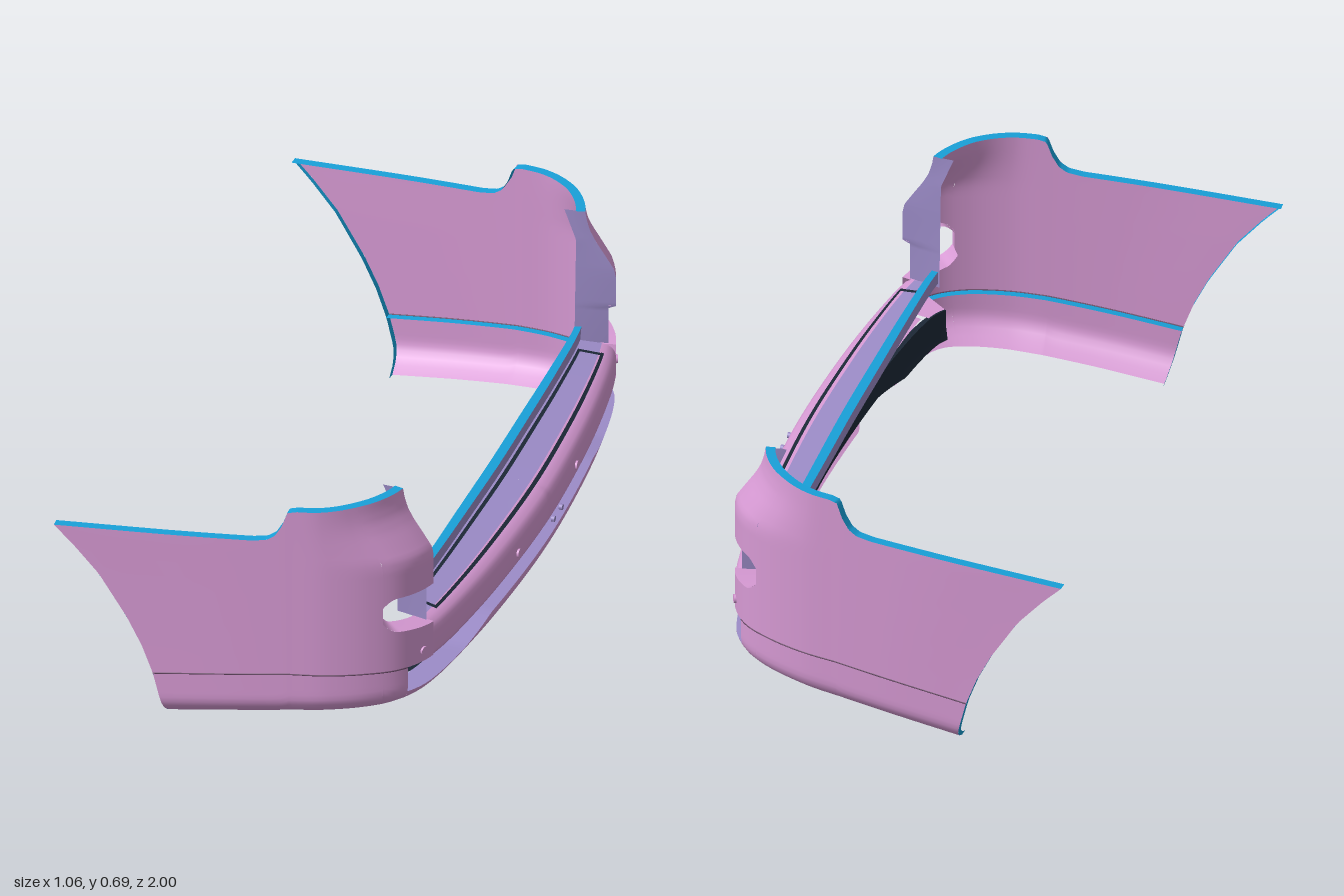
import * as THREE from 'three';

const mat = (color) => new THREE.MeshStandardMaterial({ color, side: THREE.DoubleSide });
const { lerp, clamp, smoothstep } = THREE.MathUtils;

// piecewise linear lookup in [[x, y], ...]
function table(rows, x) {
  if (x <= rows[0][0]) return rows[0][1];
  for (let i = 1; i < rows.length; i++) {
    const [a, p] = rows[i - 1], [b, q] = rows[i];
    if (x <= b) return lerp(p, q, (x - a) / (b - a));
  }
  return rows[rows.length - 1][1];
}

// plan curve of the outer skin, from wheel arch round the corner to past the middle
const plan = new THREE.CatmullRomCurve3([
  [-0.53, 1.0], [-0.2, 0.98], [0, 0.962], [0.1, 0.951], [0.2, 0.936], [0.3, 0.903], [0.37, 0.86],
  [0.415, 0.8], [0.44, 0.72], [0.472, 0.5], [0.492, 0.25], [0.5, 0], [0.492, -0.25],
].map(([x, z]) => new THREE.Vector3(x, 0, z)), false, 'centripetal');

function tAtZ(z) {
  let a = 0, b = 1;
  for (let i = 0; i < 40; i++) {
    const m = (a + b) / 2;
    if (plan.getPoint(m).z > z) a = m; else b = m;
  }
  return a;
}
const T_HOLE = tAtZ(0.885), T_SLOT = tAtZ(0.84), T_END = tAtZ(0.755), T_MID = tAtZ(0);

const ARCH = [[0, -0.23], [0.14, -0.265], [0.22, -0.295], [0.3, -0.335], [0.42, -0.41], [0.5, -0.48], [0.55, -0.53]];
const TOP = [[-0.53, 0.55], [0, 0.578], [0.04, 0.585], [0.062, 0.6], [0.08, 0.63], [0.095, 0.672], [0.12, 0.678], [0.35, 0.685]];
const BOTTOM = [[-0.53, 0], [-0.2, 0.024], [0.1, 0.045], [0.42, 0.076], [0.5, 0.08]];
const SHOULDER = [[0.5, 0], [0.525, 0.005], [0.56, 0.028], [0.6, 0.055], [0.63, 0.071], [0.66, 0.08], [0.69, 0.085]];
const GROOVE = [[-0.53, 0.14], [-0.2, 0.165], [0.1, 0.187], [0.3, 0.198], [0.42, 0.2]];

const at = (rows) => (t) => table(rows, plan.getPoint(t).x);
const top = at(TOP), groove = at(GROOVE), baseBottom = at(BOTTOM);

// point on the skin at plan parameter t and height y, moved inward by d
function skin(t, y, d = 0) {
  const p = plan.getPoint(t), g = plan.getTangent(t);
  const k = smoothstep(p.x, 0.1, 0.42);
  if (p.x < 0.1) { // wheel arch edge slants with height
    const s = (0.1 - table(ARCH, y)) / 0.63;
    p.x = 0.1 + (p.x - 0.1) * s;
    p.z = 0.951 + (p.z - 0.951) * s;
  }
  const h = clamp((y - baseBottom(t)) / 0.075, 0, 1);
  const inward = d + 0.065 * (1 - h) ** 2.6;
  p.x += g.z * inward - table(SHOULDER, y) * k;
  p.z -= g.x * inward;
  p.y = y;
  return p;
}

// grid surface from f(u, v)
function sheet(f, nu, nv) {
  const pos = [], idx = [];
  for (let i = 0; i <= nu; i++) for (let j = 0; j <= nv; j++) pos.push(...f(i / nu, j / nv).toArray());
  for (let i = 0; i < nu; i++) for (let j = 0; j < nv; j++) {
    const a = i * (nv + 1) + j, b = a + nv + 1;
    idx.push(a, b, a + 1, b, b + 1, a + 1);
  }
  const geo = new THREE.BufferGeometry();
  geo.setAttribute('position', new THREE.Float32BufferAttribute(pos, 3));
  geo.setIndex(idx);
  geo.computeVertexNormals();
  return geo;
}

export function createModel() {
  const group = new THREE.Group();
  const paint = mat(0xd79ad4), rim = mat(0x18a0d8), dark = mat(0x1c2836), inner = mat(0x9c8cc8), seam = mat(0x6a4a68);

  for (const side of [1, -1]) {
    const half = new THREE.Group();
    half.name = side > 0 ? 'leftHalf' : 'rightHalf';
    group.add(half);
    const add = (name, material, f, nu, nv) => {
      const mesh = new THREE.Mesh(sheet((u, v) => {
        const p = f(u, v);
        p.z *= side;
        return p;
      }, nu, nv), material);
      mesh.name = name;
      half.add(mesh);
    };
    // skin patch between two plan parameters and two height rules
    const patch = (name, t0, t1, lo, hi, nu, nv) => add(name, paint, (u, v) => {
      const t = lerp(t0, t1, u);
      return skin(t, lerp(lo(t, u), hi(t, u), v));
    }, nu, nv);
    // strip running inward from an edge
    const lip = (name, material, t0, t1, y, d0, d1, nu) => add(name, material, (u, v) => {
      const t = lerp(t0, t1, u);
      return skin(t, y(t, u), lerp(d0, d1, v));
    }, nu, 1);

    // lower edge has a small cut-out on the left half only
    const bottom = (t) => {
      const z = plan.getPoint(t).z;
      const cut = side > 0 ? 0.018 * smoothstep(z, 0.33, 0.43) * (1 - smoothstep(z, 0.5, 0.6)) : 0;
      return baseBottom(t) + cut;
    };
    const slotLow = (t) => table([[0.42, 0.152], [0.58, 0.126], [0.84, 0.126]], plan.getPoint(t).z);
    const holeTop = (t, u) => 0.415 - 0.025 * (1 - Math.min(1, u * 4)) ** 2;
    const holeLow = (t, u) => 0.318 + 0.025 * (1 - Math.min(1, u * 4)) ** 2 - 0.018 * u;

    // painted skin around the lamp opening and the lower intake
    patch('sidePanel', 0, T_HOLE, bottom, top, 100, 40);
    patch('cornerAboveLamp', T_HOLE, T_END, holeTop, top, 24, 24);
    const uSlot = (T_SLOT - T_HOLE) / (T_END - T_HOLE);
    patch('cornerBelowLamp', T_HOLE, T_SLOT, bottom, (t, u) => holeLow(t, u * uSlot), 12, 20);
    patch('cornerBar', T_SLOT, T_END, () => 0.2, (t, u) => holeLow(t, lerp(uSlot, 1, u)), 12, 8);
    patch('lowerLip', T_SLOT, T_MID, bottom, slotLow, 70, 12);
    lip('lowerLipReturn', inner, T_SLOT, T_MID, slotLow, 0, 0.07, 50);
    lip('lampLedge', paint, T_HOLE, T_END, holeLow, 0, 0.06, 20);
    lip('lampUpperReturn', paint, T_HOLE, T_END, holeTop, 0, 0.02, 20);
    lip('cornerBarReturn', paint, T_SLOT, T_END, () => 0.2, 0, 0.08, 12);
    add('lampOuterReturn', paint, (u, v) => skin(T_HOLE, lerp(0.34, 0.392, u), 0.02 * v), 6, 1);

    // centre bar and step shelf, swept in runs so that edges stay crisp
    const shrink = (t) => 1 - 0.33 * (plan.getPoint(t).z / 0.75) ** 2;
    const sweep = (name, material, pts, t0 = T_END, t1 = T_MID) => {
      add(name, material, (u, v) => {
        const t = lerp(t0, t1, u), i = Math.round(v * (pts.length - 1));
        return skin(t, pts[i][1], pts[i][0] * shrink(t));
      }, 40, pts.length - 1);
    };
    sweep('centreBar', paint, [[0.055, 0.303], [0.035, 0.299], [0.015, 0.29], [0.004, 0.278], [0, 0.265],
      [0, 0.21], [0.004, 0.2], [0.02, 0.193], [0.085, 0.19]]);
    sweep('stepShelf', inner, [[0.14, 0.31], [0.055, 0.303]]);
    sweep('shelfRiser', inner, [[0.135, 0.35], [0.14, 0.31]]);
    sweep('shelfRim', rim, [[0.162, 0.35], [0.135, 0.35]]);
    sweep('shelfBack', inner, [[0.162, 0.35], [0.162, 0.315]]);

    // dark border of the step pad
    const T_PAD = tAtZ(0.7), T_PAD_IN = tAtZ(0.688);
    sweep('padBorderOuter', dark, [[0.047, 0.306], [0.036, 0.303]], T_PAD);
    sweep('padBorderInner', dark, [[0.132, 0.313], [0.121, 0.312]], T_PAD);
    sweep('padBorderEnd', dark, [[0.132, 0.313], [0.036, 0.303]], T_PAD, T_PAD_IN);

    // recessed grille with slats and a closed end
    add('grille', dark, (u, v) => {
      const t = lerp(T_SLOT, T_MID, u);
      return skin(t, lerp(slotLow(t) - 0.012, 0.2, v), 0.085);
    }, 50, 2);
    add('grilleEnd', dark, (u, v) => skin(T_SLOT, lerp(0.126, 0.2, v), 0.085 * u), 3, 3);
    for (const y of [0.145, 0.163, 0.181]) lip('grilleSlat', dark, T_SLOT, tAtZ(0.5), () => y, 0.055, 0.085, 20);

    // inward flange beside the tailgate opening
    add('tailgateFlange', inner, (u, v) => {
      const y = lerp(0.3, 0.684, v), p = skin(T_END, y);
      const notch = y < 0.415 ? 0.02 : 0;
      return new THREE.Vector3(lerp(p.x - notch, 0.325 - 0.4 * Math.max(0, y - 0.6), u), y, p.z - lerp(0.022, 0.004, v) * u);
    }, 4, 40);

    // return edges
    lip('topRim', rim, 0, T_END, top, 0, 0.025, 120);
    lip('grooveRim', rim, 0, T_SLOT, groove, 0.002, 0.022, 60);
    add('archRim', rim, (u, v) => skin(0, 0.55 * u, lerp(0.022, 0.012, u) * v), 30, 1);

    // groove between upper skin and valance
    const line = [];
    for (let i = 0; i <= 30; i++) {
      const t = lerp(0, T_SLOT, i / 30), p = skin(t, groove(t), 0.0005);
      line.push(p.setZ(p.z * side));
    }
    const grooveLine = new THREE.Mesh(new THREE.TubeGeometry(new THREE.CatmullRomCurve3(line), 80, 0.0022, 6), seam);
    grooveLine.name = 'grooveLine';
    half.add(grooveLine);

    // parking sensors and the small pins in the middle
    for (const [z, y, r, out] of [[0.795, 0.232, 0.012, 0.001], [0.24, 0.232, 0.012, 0.001], [0.032, 0.226, 0.008, 0.021]]) {
      const t = tAtZ(z), p = skin(t, y, -out), g = plan.getTangent(t);
      const sensor = new THREE.Mesh(new THREE.CylinderGeometry(r, r, 0.009, 20), z < 0.1 ? inner : paint);
      sensor.name = z < 0.1 ? 'centrePin' : 'parkingSensor';
      sensor.position.set(p.x, y, p.z * side);
      sensor.quaternion.setFromUnitVectors(new THREE.Vector3(0, 1, 0), new THREE.Vector3(-g.z, 0, g.x * side).normalize());
      half.add(sensor);
    }
  }
  return group;
}
